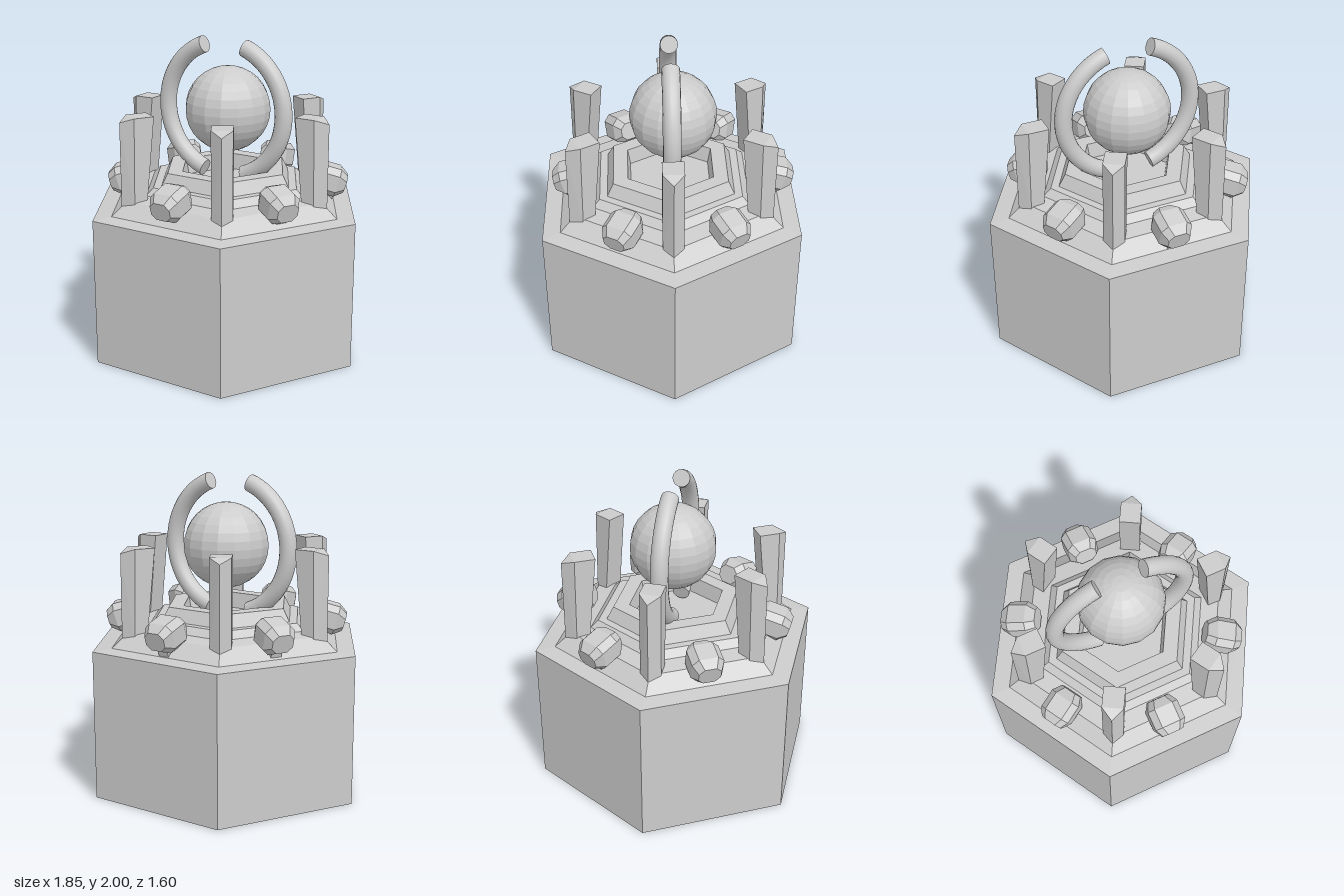
import * as THREE from 'three';
import { ConvexGeometry } from 'three/addons/geometries/ConvexGeometry.js';

const flat = new THREE.MeshStandardMaterial({ color: 0xcccccc, flatShading: true });
const smooth = new THREE.MeshStandardMaterial({ color: 0xcccccc });

function add(parent, name, geometry, material = flat) {
  const mesh = new THREE.Mesh(geometry, material);
  mesh.name = name;
  parent.add(mesh);
  return mesh;
}

const hull = (points) => new ConvexGeometry(points.map((p) => new THREE.Vector3(...p)));

// Five-sided post with a pointed outer edge; +z is outward
function pillarGeometry() {
  const w = 0.065;
  const points = [[0, 1.0, 0.73], [0, 1.54, 0.73]];
  for (const x of [-w, w]) {
    points.push([x, 1.03, 0.585], [x, 1.0, 0.67], [x, 1.57, 0.53], [x, 1.57, 0.66]);
  }
  return hull(points);
}

// Faceted stone: small octagons at the ends, large ones in the middle
function gemGeometry() {
  const points = [];
  for (const [z, w, h, cut] of [[0.115, 0.07, 0.058, 0.033], [0.06, 0.1, 0.093, 0.04]]) {
    for (const sx of [-1, 1]) for (const sy of [-1, 1]) for (const sz of [-1, 1]) {
      points.push([sx * w, sy * (h - cut), sz * z], [sx * (w - cut), sy * h, sz * z]);
    }
  }
  return hull(points);
}

export function createModel() {
  const model = new THREE.Group();
  model.name = 'hexagonalPedestal';

  // Six-sided base with stepped deck and a shallow recess
  const profile = [
    [0, 0], [0.925, 0], [0.925, 0.945], [0.8, 0.955], [0.695, 1.04], [0.565, 1.055],
    [0.515, 1.1], [0.46, 1.1], [0.415, 1.18], [0.31, 1.18], [0.29, 1.08], [0, 1.08],
  ].map(([r, y]) => new THREE.Vector2(r, y));
  add(model, 'base', new THREE.LatheGeometry(profile, 6, Math.PI / 2));

  // Pillars on the corners, gems on the sides
  const pillars = new THREE.Group();
  pillars.name = 'pillars';
  const gems = new THREE.Group();
  gems.name = 'gems';
  gems.position.z = -0.02;
  model.add(pillars, gems);
  const pillarShape = pillarGeometry();
  const gemShape = gemGeometry();
  const stemShape = new THREE.BoxGeometry(0.07, 0.09, 0.07);
  for (let i = 0; i < 6; i++) {
    add(pillars, 'pillar', pillarShape).rotation.y = Math.PI / 2 + (i * Math.PI) / 3;

    const holder = new THREE.Group();
    holder.name = 'gemHolder';
    holder.rotation.y = (i * Math.PI) / 3;
    gems.add(holder);
    const gem = add(holder, 'gem', gemShape);
    gem.position.set(0, 1.095, 0.645);
    gem.rotation.x = 0.28;
    const stem = add(holder, 'gemStem', stemShape);
    stem.position.set(0, 1.0, 0.645);
    stem.rotation.x = 0.28;
  }

  // Floating orb
  add(model, 'orb', new THREE.SphereGeometry(0.272, 16, 16)).position.set(0, 1.55, -0.02);

  // Two curved horns around the orb
  const R = 0.43, r = 0.055, sweep = (140 * Math.PI) / 180;
  for (const side of [0, 1]) {
    const horn = new THREE.Group();
    horn.name = side ? 'rightHorn' : 'leftHorn';
    horn.position.set(-0.015, 1.545, 0);
    horn.rotation.z = side * Math.PI - sweep / 2;
    model.add(horn);
    add(horn, 'hornArc', new THREE.TorusGeometry(R, r, 16, 32, sweep), smooth);
    for (const a of [0, sweep]) {
      const cap = add(horn, 'hornEnd', new THREE.CircleGeometry(r, 16));
      cap.position.set(R * Math.cos(a), R * Math.sin(a), 0);
      cap.rotation.set(a ? -Math.PI / 2 : Math.PI / 2, 0, a, 'ZXY');
    }
  }
  return model;
}
